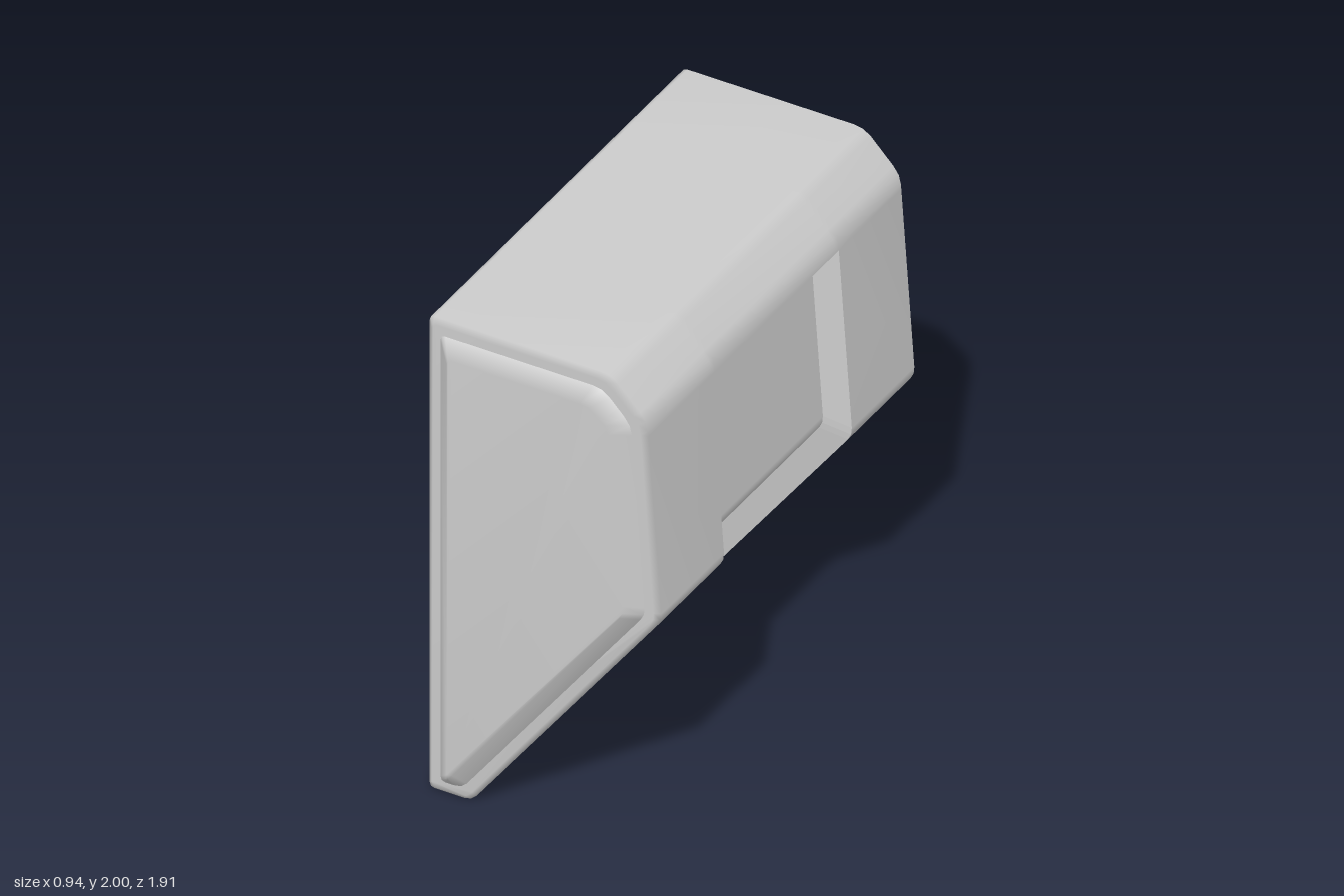
import * as THREE from 'three';
import { mergeVertices } from 'three/addons/utils/BufferGeometryUtils.js';

// Side profile corners, counter-clockwise: [x, y, corner rounding]
const CORNERS = [
  [-0.47, 0, 0.02], [-0.3, 0, 0.03], [0.469, 1.025, 0.03],
  [0.41, 1.85, 0.04], [0.265, 2, 0.04], [-0.47, 2, 0.02],
];
const N = CORNERS.length;

// Profile corners moved inwards by d
function inset(d) {
  return CORNERS.map(([x, y], i) => {
    const p = new THREE.Vector2(x, y);
    const a = CORNERS[(i + N - 1) % N], b = CORNERS[(i + 1) % N];
    const u = p.clone().sub(new THREE.Vector2(a[0], a[1])).normalize();
    const v = new THREE.Vector2(b[0], b[1]).sub(p).normalize();
    const n = new THREE.Vector2(-u.y - v.y, u.x + v.x);
    return p.addScaledVector(n, d / (1 + u.dot(v)));
  });
}

// Point at height y on the line a-b
const atHeight = (a, b, y) => a.clone().lerp(b, (y - a.y) / (b.y - a.y));

// Three points rounding each corner
function rounded(pts, i) {
  const p = pts[i];
  const towards = (q) => {
    const len = p.distanceTo(q);
    return p.clone().lerp(q, Math.min(CORNERS[i][2], len * 0.4) / len);
  };
  const a = towards(pts[(i + N - 1) % N]), b = towards(pts[(i + 1) % N]);
  return [a, a.clone().add(b).multiplyScalar(0.25).addScaledVector(p, 0.5), b];
}

function plainRing(d) {
  const pts = inset(d);
  return pts.flatMap((_, i) => rounded(pts, i));
}

// Ring with points for the recess: 6 = lower lip, 7 = floor end,
// 8-10 = knee, 11 = floor end, 12 = upper lip
function bodyRing(d, recessed) {
  const o = inset(d), f = recessed ? inset(0.1) : o;
  const low = atHeight(o[1], o[2], 0.05), high = atHeight(o[2], o[3], 1.79);
  return [
    ...rounded(o, 0), ...rounded(o, 1),
    low, recessed ? atHeight(f[1], f[2], 0.13) : low,
    ...rounded(f, 2),
    recessed ? atHeight(f[2], f[3], 1.757) : high, high,
    ...rounded(o, 3), ...rounded(o, 4), ...rounded(o, 5),
  ];
}

// Skin between sections [z, ring] of rising z; keep(strip, segment) selects quads
function loft(sections, keep, closed) {
  const pos = [];
  const tri = (a, b, c) => {
    if (new THREE.Triangle(a, b, c).getArea() > 1e-7) {
      for (const p of [a, b, c]) pos.push(p.x, p.y, p.z);
    }
  };
  const rings = sections.map(([z, r]) => r.map((p) => new THREE.Vector3(p.x, p.y, z)));
  for (let s = 0; s < rings.length - 1; s++) {
    const a = rings[s], b = rings[s + 1];
    for (let i = 0; i < a.length; i++) {
      if (!keep(s, i)) continue;
      const j = (i + 1) % a.length;
      tri(a[i], a[j], b[j]);
      tri(a[i], b[j], b[i]);
    }
  }
  if (closed) {
    const first = rings[0], last = rings[rings.length - 1];
    for (let i = 1; i < first.length - 1; i++) {
      tri(first[0], first[i + 1], first[i]);
      tri(last[0], last[i], last[i + 1]);
    }
  }
  const g = new THREE.BufferGeometry();
  g.setAttribute('position', new THREE.Float32BufferAttribute(pos, 3));
  return g;
}

function smooth(g) {
  const m = mergeVertices(g, 1e-5);
  m.computeVertexNormals();
  return m;
}

export function createModel() {
  const group = new THREE.Group();
  const material = new THREE.MeshStandardMaterial({ color: 0xcccccc });
  const add = (name, geometry) => {
    const mesh = new THREE.Mesh(geometry, material);
    mesh.name = name;
    group.add(mesh);
  };

  // Body with bevelled ends and a recess wrapped over the knee
  const end = bodyRing(0.02, false), outer = bodyRing(0, false), inner = bodyRing(0, true);
  const sections = [
    [-0.9, end], [-0.88, outer], [-0.445, outer], [-0.42, inner],
    [0.42, inner], [0.445, outer], [0.88, outer], [0.9, end],
  ];
  const isWall = (s, i) => s >= 2 && s <= 4 && i >= 6 && i <= 11
    && (s !== 3 || i === 6 || i === 11);
  add('body', smooth(loft(sections, (s, i) => !isWall(s, i), true)));

  // Recess walls, kept crisp
  const walls = loft(sections, isWall, false);
  walls.computeVertexNormals();
  add('recessWalls', walls);

  // Raised chamfered panels on both ends
  const foot = plainRing(0.055), face = plainRing(0.11);
  const all = () => true;
  add('frontPanel', smooth(loft([[0.89, foot], [0.9, foot], [0.953, face]], all, true)));
  add('backPanel', smooth(loft([[-0.953, face], [-0.9, foot], [-0.89, foot]], all, true)));

  return group;
}
